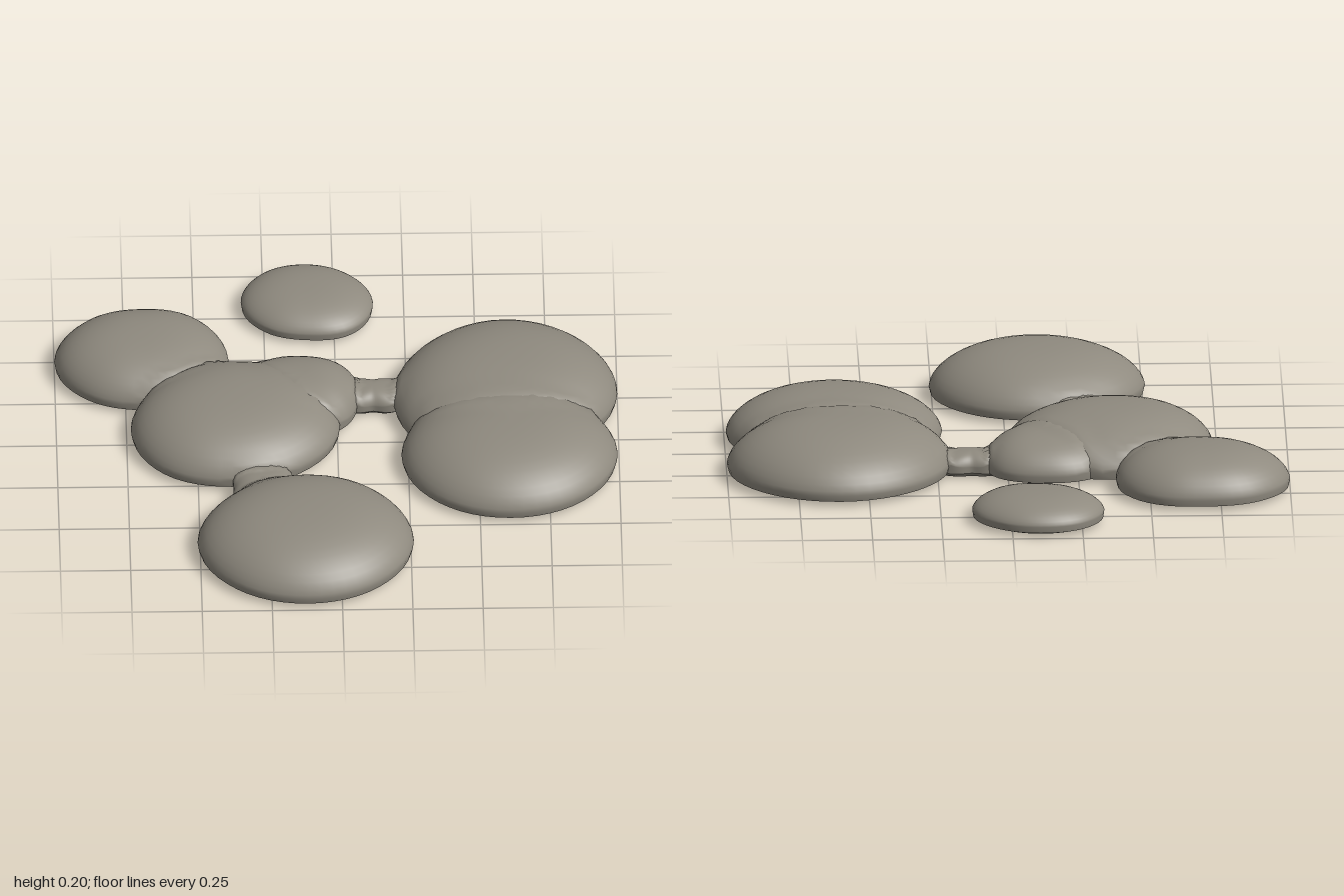
import * as THREE from 'three';
import { mergeVertices } from 'three/addons/utils/BufferGeometryUtils.js';

const SIDES = 48;
const RIM = 0.04;

// Each stone: centre, height, and its radius every 45 degrees from +x towards +z
const stone = (name, x, z, height, ...radii) => ({ name, x, z, height, radii });
const STONES = [
  stone('frontStone', -0.12, 0.64, 0.185, 0.38, 0.36, 0.35, 0.365, 0.39, 0.36, 0.345, 0.36),
  stone('leftBackStone', 0.6, -0.22, 0.197, 0.4, 0.37, 0.36, 0.4, 0.4, 0.39, 0.4, 0.4),
  stone('leftFrontStone', 0.61, 0.13, 0.186, 0.385, 0.37, 0.36, 0.37, 0.385, 0.36, 0.36, 0.36),
  stone('middleStone', -0.38, -0.04, 0.182, 0.39, 0.35, 0.325, 0.345, 0.355, 0.34, 0.35, 0.36),
  stone('middleLobe', -0.12, -0.2, 0.15, 0.2, 0.2, 0.2, 0.24, 0.26, 0.25, 0.22, 0.225),
  stone('rightBackStone', -0.69, -0.45, 0.166, 0.31, 0.31, 0.27, 0.285, 0.31, 0.28, 0.255, 0.29),
  stone('backStone', -0.1, -0.79, 0.112, 0.24, 0.235, 0.2, 0.21, 0.23, 0.22, 0.205, 0.215),
  stone('frontBridge', -0.27, 0.32, 0.085, 0.105, 0.13, 0.12, 0.13, 0.105, 0.13, 0.12, 0.13),
  stone('sideBridge', 0.13, -0.23, 0.085, 0.16, 0.105, 0.068, 0.105, 0.16, 0.105, 0.068, 0.105),
];

// Outline radius at an angle, curving smoothly through the eight given radii
function reach({ radii }, angle) {
  const u = (angle / (Math.PI * 2) + 1) * 8;
  const i = Math.floor(u), f = u - i;
  const [a, b, c, d] = [-1, 0, 1, 2].map((k) => radii[(i + k + 8) % 8]);
  return b + 0.5 * f * (c - a + f * (2 * a - 5 * b + 4 * c - d + f * (3 * (b - c) + d - a)));
}

// Rounded dome height at fraction t of the way to the rim, sinking away outside it
function dome(s, t) {
  return t >= 1 ? RIM - (t - 1) * 0.3 : RIM + (s.height - RIM) * (1 - t ** 2.7) ** 0.6;
}

function heightAt(s, x, z) {
  const dx = x - s.x, dz = z - s.z;
  return dome(s, Math.hypot(dx, dz) / reach(s, Math.atan2(dz, dx)));
}

// Fill the valley a little where two stones run together
function blend(s, x, y, z) {
  const k = 0.05;
  const lifts = STONES.filter((other) => other !== s).map((other) => {
    const gap = Math.abs(y - heightAt(other, x, z));
    return k * Math.max(1 - gap / k, 0) ** 2 / 4;
  });
  return y + Math.max(...lifts);
}

// Skin over rings of [t, y]; rings without y follow the dome
function skin(s, rings) {
  const pos = [], index = [];
  rings.forEach(([t, flatY], i) => {
    for (let j = 0; j < SIDES; j++) {
      const a = j / SIDES * Math.PI * 2, r = reach(s, a) * t;
      const x = s.x + Math.cos(a) * r, z = s.z + Math.sin(a) * r;
      pos.push(x, flatY ?? blend(s, x, dome(s, t), z), z);
      if (i === 0) continue;
      const n = (j + 1) % SIDES, p = (i - 1) * SIDES, q = i * SIDES;
      if (rings[i - 1][0] > 0) index.push(p + j, p + n, q + j);
      if (t > 0) index.push(p + n, q + n, q + j);
    }
  });
  const raw = new THREE.BufferGeometry();
  raw.setAttribute('position', new THREE.Float32BufferAttribute(pos, 3));
  raw.setIndex(index);
  const geo = mergeVertices(raw, 1e-5);
  geo.computeVertexNormals();
  return geo;
}

export function createModel() {
  const group = new THREE.Group();
  group.name = 'flatStones';
  const stoneGrey = new THREE.MeshStandardMaterial({ color: 0x8f8a7f });
  stoneGrey.name = 'stoneGrey';

  // Domed top down to the rounded rim, then the nearly flat underside
  const top = [];
  for (let i = 0; i <= 12; i++) top.push([Math.sin(i / 12 * Math.PI / 2)]);
  top.push([0.985, 0.018]);
  const under = [[0.985, 0.018], [0.8, 0.004], [0, 0]];

  for (const s of STONES) {
    const part = new THREE.Group();
    part.name = s.name;
    for (const [name, rings] of [['dome', top], ['underside', under]]) {
      const mesh = new THREE.Mesh(skin(s, rings), stoneGrey);
      mesh.name = name;
      part.add(mesh);
    }
    group.add(part);
  }
  return group;
}
